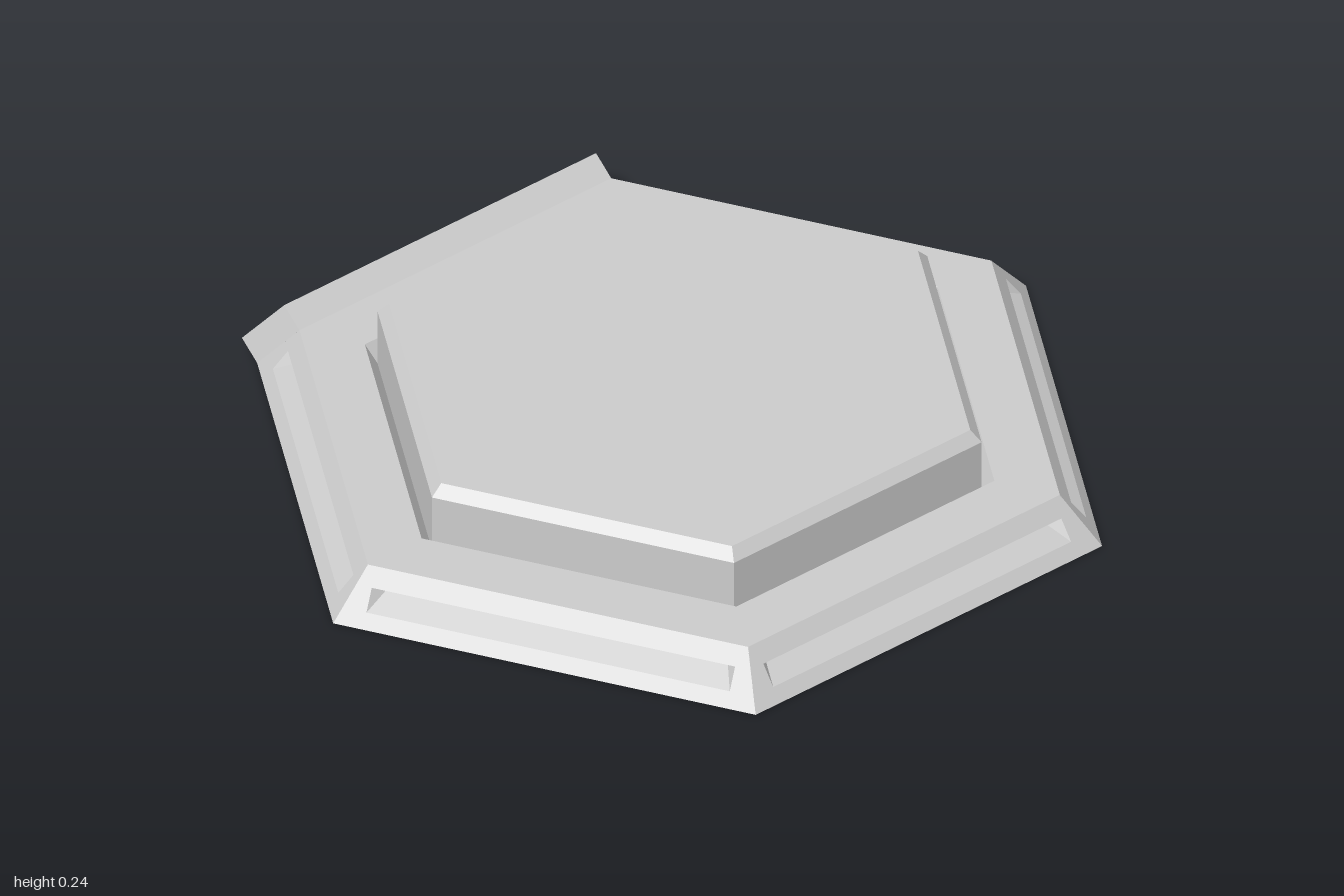
import * as THREE from 'three';

const material = new THREE.MeshStandardMaterial({ color: 0xcccccc, flatShading: true, side: THREE.DoubleSide });
const HEIGHT = 0.115, FOOT = 0.866, RUN = 0.087; // sloped wall: rise, apothem at the ground, inward run

// Point on the front wall: x along it, t from foot (0) to top (1), d inward along the normal
function onWall(x, t, d) {
  return [x, HEIGHT * t - 0.6 * d, FOOT - RUN * t - 0.8 * d];
}

function mesh(name, geometry) {
  const m = new THREE.Mesh(geometry, material);
  m.name = name;
  return m;
}

// Faces given as loops of 3 or 4 corners, counter-clockwise from outside
function fromFaces(faces) {
  const pos = [];
  for (const f of faces)
    for (let i = 1; i < f.length - 1; i++) pos.push(...f[0], ...f[i], ...f[i + 1]);
  const g = new THREE.BufferGeometry();
  g.setAttribute('position', new THREE.Float32BufferAttribute(pos, 3));
  g.computeVertexNormals();
  return g;
}

const corners = (d) => [onWall(-0.5, 0, d), onWall(0.5, 0, d), onWall(0.45, 1, d), onWall(-0.45, 1, d)];

// Wall face with a wedge-shaped pocket: flush at its lower edge, deepest under its upper edge
function pocketFaces(d, w, t0, t1, depth, inset) {
  const outer = corners(d);
  const rim = [onWall(-w, t0, d), onWall(w, t0, d), onWall(w, t1, d), onWall(-w, t1, d)];
  const inR = onWall(w - inset, t1, d + depth), inL = onWall(-w + inset, t1, d + depth);
  const faces = outer.map((p, i) => [p, outer[(i + 1) % 4], rim[(i + 1) % 4], rim[i]]);
  faces.push([rim[0], rim[1], inR, inL], [inL, inR, rim[2], rim[3]]);
  faces.push([rim[0], inL, rim[3]], [rim[1], rim[2], inR]);
  return faces;
}

// Six-sided turned shape with corners on the x axis
function hexTurned(profile) {
  const g = new THREE.LatheGeometry(profile.map(([r, y]) => new THREE.Vector2(r, y)), 6, Math.PI / 6).toNonIndexed();
  g.computeVertexNormals();
  return g;
}

export function createModel() {
  const model = new THREE.Group();
  model.name = 'hexagonalBase';
  const body = new THREE.Group();
  body.name = 'body';
  body.position.z = 0.026;
  model.add(body);

  // Sloped walls; the back one is plain because the bar covers it
  for (let k = 0; k < 6; k++) {
    const faces = k === 3 ? [corners(0)] : pocketFaces(0, 0.43, 0.27, 0.66, 0.027, 0.025);
    const wall = mesh('slopedWall', fromFaces(faces));
    wall.rotation.y = k * Math.PI / 3;
    body.add(wall);
  }

  // Bar on the back wall with a small latch notch
  const inner = corners(0), outer = corners(-0.066);
  const barFaces = pocketFaces(-0.066, 0.045, 0.23, 0.68, 0.035, 0.01);
  inner.forEach((p, i) => {
    const j = (i + 1) % 4;
    barFaces.push([p, inner[j], outer[j], outer[i]]);
  });
  const bar = mesh('backBar', fromFaces(barFaces));
  bar.rotation.y = Math.PI;
  body.add(bar);

  // Flat top rim with a lip sloping down into the opening
  body.add(mesh('topRim', hexTurned([[0.9, HEIGHT], [0.745, HEIGHT], [0.712, 0.066]])));

  // Raised plate, bevelled above and below
  body.add(mesh('raisedPlate', hexTurned([
    [0, 0.04], [0.685, 0.04], [0.715, 0.065], [0.715, 0.213], [0.688, 0.24], [0, 0.24],
  ])));

  return model;
}
